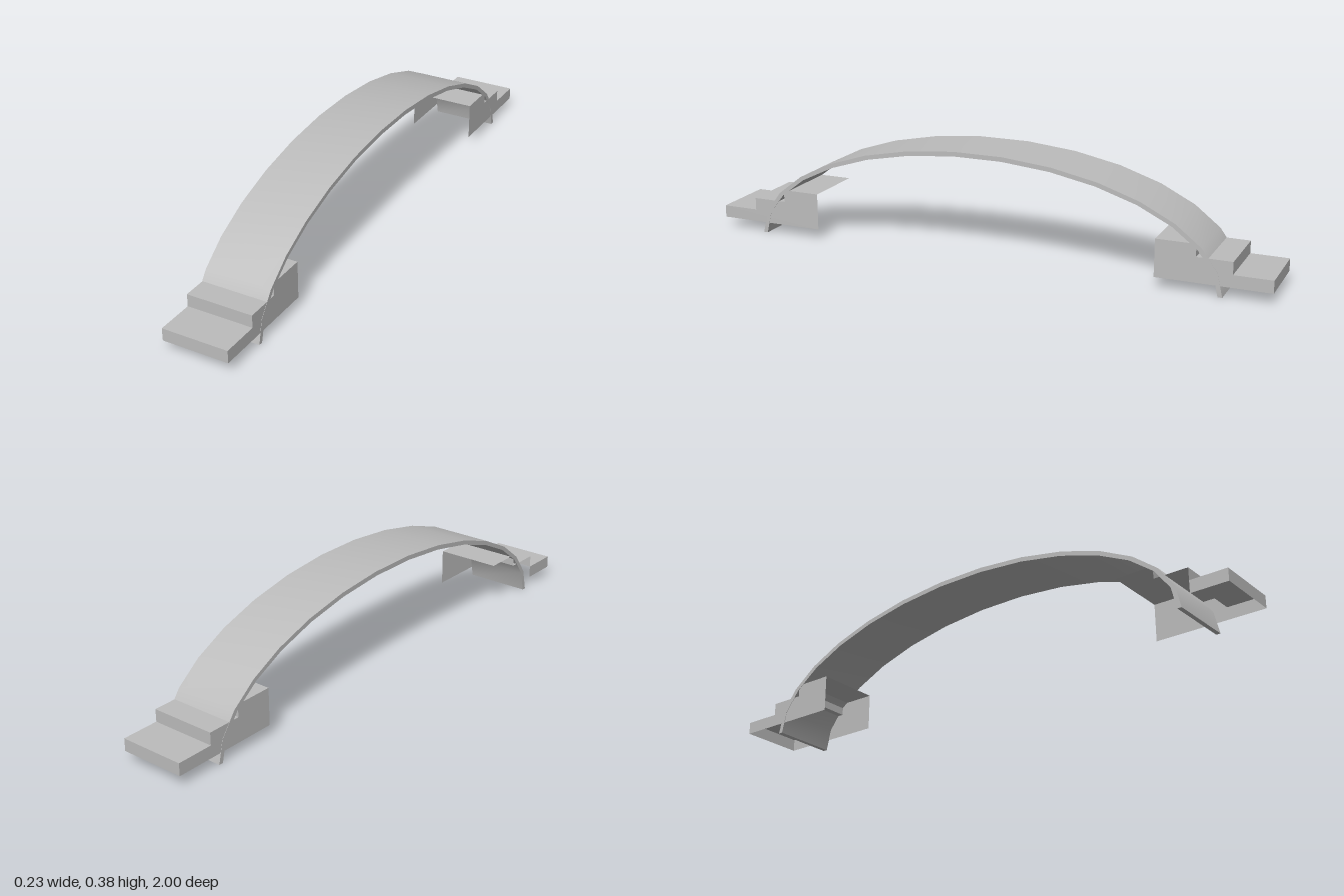
import * as THREE from 'three';
import { toCreasedNormals } from 'three/addons/utils/BufferGeometryUtils.js';

const HALF = 0.115; // half width of the bridge
const BASE = 0.037; // underside of the abutments

// Stepped top line of an abutment as [z, y], from outer end to inner end
const STEPS = [[1, BASE], [1, 0.08], [0.87, 0.08], [0.87, 0.123], [0.75, 0.123], [0.75, 0.166], [0.615, 0.166]];

const stone = new THREE.MeshStandardMaterial({ color: 0xbcbcbc, side: THREE.DoubleSide });
stone.name = 'grey stone';

function addMesh(parent, name, geometry) {
  const mesh = new THREE.Mesh(geometry, stone);
  mesh.name = name;
  parent.add(mesh);
  return mesh;
}

// Shape drawn in (z, y), turned to stand across the x axis
function shapeOf(points) {
  return new THREE.Shape(points.map(([z, y]) => new THREE.Vector2(-z, y)));
}

// Thin curved deck: half ellipse of fifteen straight spans
function archGeometry() {
  const outer = [];
  const inner = [];
  const spans = 15;
  for (let i = 0; i <= spans; i++) {
    const a = (i / spans) * Math.PI;
    outer.push([0.84 * Math.cos(a), 0.378 * Math.sin(a)]);
    inner.unshift([0.825 * Math.cos(a), 0.362 * Math.sin(a)]);
  }
  const geometry = new THREE.ExtrudeGeometry(shapeOf([...outer, ...inner]), {
    depth: 2 * HALF + 0.002, bevelEnabled: false,
  });
  geometry.translate(0, 0, -HALF - 0.001);
  geometry.rotateY(Math.PI / 2);
  return toCreasedNormals(geometry, 0.6);
}

// Treads and risers folded from one sheet
function stepsGeometry() {
  const pos = [];
  for (let i = 0; i < STEPS.length - 1; i++) {
    const [z0, y0] = STEPS[i];
    const [z1, y1] = STEPS[i + 1];
    pos.push(-HALF, y0, z0, HALF, y0, z0, HALF, y1, z1);
    pos.push(-HALF, y0, z0, HALF, y1, z1, -HALF, y1, z1);
  }
  const geometry = new THREE.BufferGeometry();
  geometry.setAttribute('position', new THREE.Float32BufferAttribute(pos, 3));
  geometry.computeVertexNormals();
  return geometry;
}

// Flat cheek closing one side of an abutment; side is +1 or -1
function cheekGeometry(points, side) {
  const geometry = new THREE.ShapeGeometry(shapeOf(points));
  if (side < 0) geometry.rotateY(Math.PI).scale(-1, 1, 1).scale(1, 1, -1);
  geometry.rotateY(Math.PI / 2);
  geometry.translate(side * HALF, 0, 0);
  return geometry;
}

export function createModel() {
  const model = new THREE.Group();
  model.name = 'archBridge';
  addMesh(model, 'archDeck', archGeometry());

  const fullCheek = [...STEPS, [0.615, BASE]];
  const lowCheek = [[1, BASE], [1, 0.08], [0.87, 0.08], [0.87, BASE]];

  // Hollow abutments, open below and at the inner end
  for (const end of ['front', 'back']) {
    const abutment = new THREE.Group();
    abutment.name = end + 'Abutment';
    addMesh(abutment, 'steps', stepsGeometry());
    addMesh(abutment, 'leftCheek', cheekGeometry(fullCheek, 1));
    // The front abutment has only a low cheek on its right
    addMesh(abutment, 'rightCheek', cheekGeometry(end === 'front' ? lowCheek : fullCheek, -1));
    if (end === 'back') abutment.rotation.y = Math.PI;
    model.add(abutment);
  }
  return model;
}
